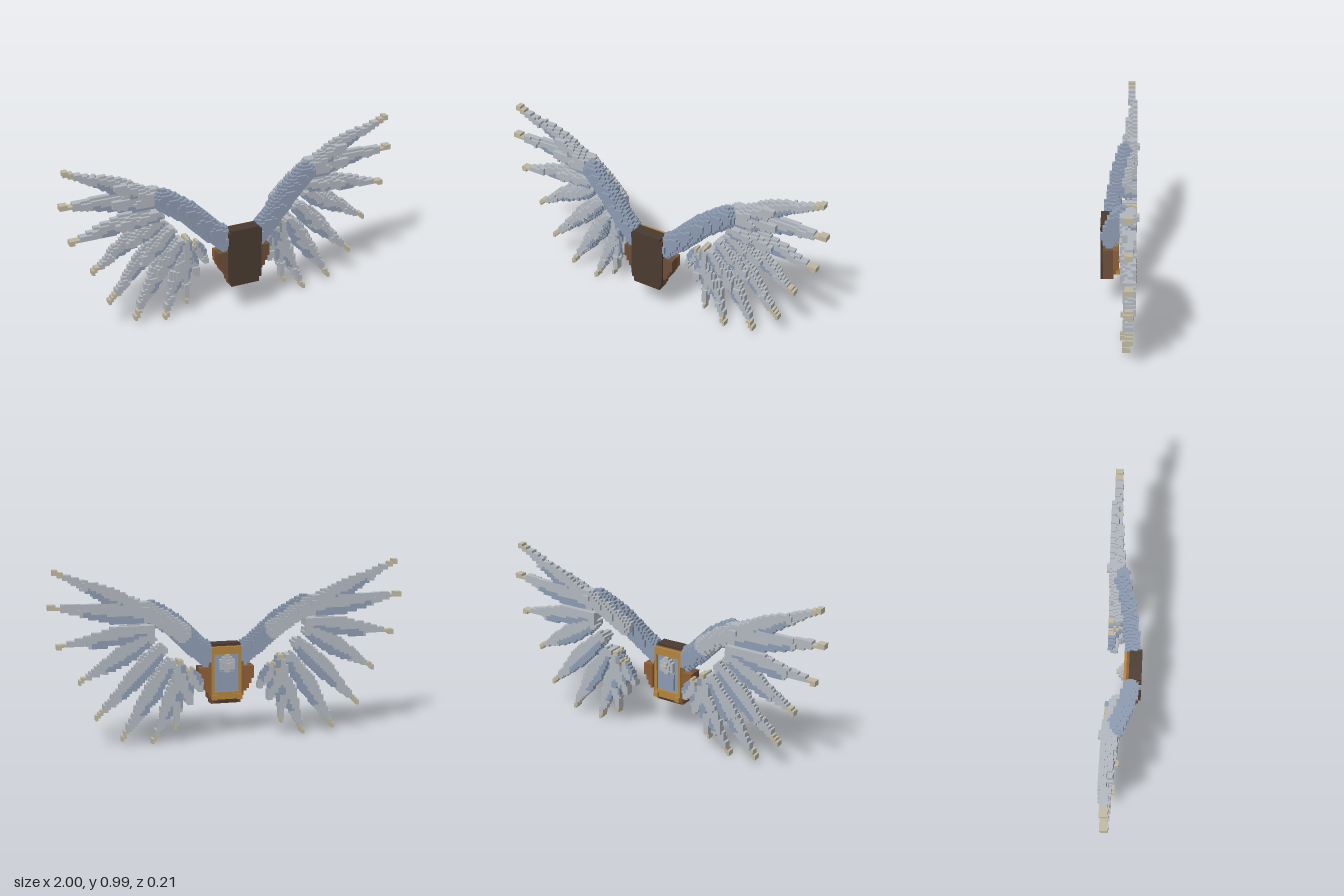
import * as THREE from 'three';

const V = 1 / 70; // voxel edge

const mat = (name, color) => new THREE.MeshStandardMaterial({ name, color });

export function createModel() {
  const M = {
    silver: mat('silver', 0xb2b8bf),
    steel: mat('steelBlue', 0x8d9bb1),
    tan: mat('tanTip', 0xbfb8a2),
    dark: mat('darkLeather', 0x4a3b30),
    brown: mat('brownLeather', 0x6d4e38),
    bronze: mat('bronze', 0x8e5e34),
    gold: mat('gold', 0xb4853c),
  };

  // Voxel store for the +x half; everything is mirrored when meshed
  const cells = new Map();
  const put = (part, color, i, j, k) => {
    if (i >= 0 && i < 70 && j >= 0) cells.set(`${i},${j},${k}`, { part, color, i, j, k });
  };
  const at = (n) => (n + 0.5) * V;

  // Visit every column of cells inside a rectangle
  const scan = (x0, x1, y0, y1, fn) => {
    for (let i = Math.max(0, Math.floor(x0 / V)); i <= x1 / V; i++)
      for (let j = Math.max(0, Math.floor(y0 / V)); j <= y1 / V; j++) fn(i, j, at(i), at(j));
  };

  // Tapered feather from root to tip, bending forward by `lift` layers
  function feather(part, [ax, ay], [bx, by], hw, back, layers, lift, tip = true, quill = false) {
    const dx = bx - ax, dy = by - ay, L = Math.hypot(dx, dy), m = hw + V;
    scan(Math.min(ax, bx) - m, Math.max(ax, bx) + m, Math.min(ay, by) - m, Math.max(ay, by) + m, (i, j, x, y) => {
      const t = ((x - ax) * dx + (y - ay) * dy) / (L * L);
      const s = ((x - ax) * dy - (y - ay) * dx) / L; // positive on the trailing side
      if (t < 0 || t > 1) return;
      const taper = tip ? Math.pow(1 - Math.max(0, t - 0.4) / 0.6, 0.85)
        : Math.sqrt(Math.max(0, 1 - Math.max(0, t - 0.5) * 2));
      let w = Math.max(0.011, hw * Math.min(0.5 + t * 1.25, 1) * taper);
      if (quill && t < 0.08) w = 0.014;
      if (Math.abs(s) > w) return;
      let color = 'silver';
      if (s > 0.25 * w && t > 0.08 && t < 0.66) color = 'steel';
      if (tip && t > 0.88 || quill && t < 0.08) color = 'tan';
      const k0 = back + Math.round(lift * t * t);
      const n = layers - (Math.abs(s) > 0.7 * w && t < 0.8 ? 1 : 0);
      for (let k = 0; k < n; k++) put(part, color, i, j, k0 + k);
    });
  }

  // Rounded limb through 3D points
  function limb(part, color, pts, r, rz) {
    for (let n = 0; n < pts.length - 1; n++) {
      const a = pts[n], b = pts[n + 1];
      for (let q = 0; q <= 12; q++) {
        const [cx, cy, cz] = a.map((c, e) => c + (b[e] - c) * q / 12);
        scan(cx - r, cx + r, cy - r, cy + r, (i, j, x, y) => {
          const d = ((x - cx) ** 2 + (y - cy) ** 2) / (r * r);
          if (d > 1) return;
          const h = rz * Math.sqrt(1 - d);
          for (let k = Math.round((cz - h) / V); k < Math.round((cz + h) / V); k++) put(part, color, i, j, k);
        });
      }
    }
  }

  // Flight feathers: root, tip, half width, forward bend
  const flight = [
    [[0.42, 0.72], [0.975, 0.98], 0.05, 1],
    [[0.44, 0.72], [1.0, 0.787], 0.056, 1],
    [[0.43, 0.65], [0.96, 0.57], 0.054, 1],
    [[0.43, 0.61], [0.845, 0.37], 0.056, 1],
    [[0.37, 0.55], [0.755, 0.163], 0.055, 1],
    [[0.33, 0.47], [0.615, 0.032], 0.054, 2],
    [[0.26, 0.43], [0.436, 0.003], 0.05, 3],
    [[0.29, 0.47], [0.305, 0.065], 0.045, 3],
    [[0.27, 0.40], [0.225, 0.215], 0.04, 1],
    [[0.23, 0.42], [0.165, 0.28], 0.035, 1],
  ];
  flight.forEach(([a, b, w, lift], n) => feather(`flightFeather${n + 1}`, a, b, w, -7, 3, lift, n < 8, n > 5));

  // Shorter covert feathers overlapping the front of the fan
  const mix = (a, b, t) => [a[0] + (b[0] - a[0]) * t, a[1] + (b[1] - a[1]) * t];
  flight.slice(0, 8).forEach(([a, b, w], n) => {
    feather('greaterCoverts', a, mix(a, b, 0.5), w * 0.9, -4, 2, 0, false, n > 5);
    feather('lesserCoverts', a, mix(a, b, 0.28), w * 0.8, -2, 1, 0, false, n > 5);
  });

  // Wing arm, with a pale band of small feathers behind it
  limb('armCoverts', 'silver', [[0.26, 0.61, -0.03], [0.38, 0.70, -0.05], [0.48, 0.755, -0.07]], 0.05, 0.04);
  limb('wingArm', 'steel', [[0.09, 0.455, 0.05], [0.2, 0.55, 0.03], [0.31, 0.655, 0.005], [0.43, 0.735, -0.03]], 0.062, 0.047);

  // Pack: octagonal shell with dark front and top, brown sides
  const half = (y) => 0.107 - Math.max(0, 0.24 - y, y - 0.485) * 0.6;
  scan(0, 0.12, 0.19, 0.525, (i, j, x, y) => {
    if (x > half(y)) return;
    for (let k = 2; k < 7; k++)
      put('packShell', k < 6 && x > half(y) - V && y < 0.51 ? 'brown' : 'dark', i, j, k);
  });

  // Side pouches, tapering downward
  scan(0.107, 0.155, 0.26, 0.395, (i, j, x, y) => {
    if (x < 0.108 + Math.min(0.045, (y - 0.24) * 0.5))
      for (let k = 0; k < 6; k++) put('sidePouch', k < 2 ? 'bronze' : 'brown', i, j, k);
  });

  // Back: gold frame around a blue panel, corner studs and a round knob
  scan(0, 0.1, 0.22, 0.5, (i, j, x, y) => {
    const rim = x > 0.07 || y < 0.255 || y > 0.465;
    if (x > half(y) - 0.01) return;
    put('backPanel', rim ? 'bronze' : 'steel', i, j, 1);
    if (rim && x < 0.088) put('backFrame', 'gold', i, j, 0);
    if (x > 0.055 && x < 0.088 && y > 0.22 && y < 0.25) put('cornerStud', 'gold', i, j, -1);
    if (x < 0.045 && y < 0.37 && y > 0.27) put('backPanel', 'steel', i, j, 0);
    const r = Math.hypot(x, y - 0.42);
    if (r < 0.045) put('backKnob', 'silver', i, j, 0), put('backKnob', 'silver', i, j, -1);
    if (r < 0.026) put('backKnob', 'silver', i, j, -2);
    if (r < 0.012) put('backKnob', 'tan', i, j, -3);
  });

  // Emit exposed voxel faces, one mesh per part, side and colour
  const root = new THREE.Group();
  root.name = 'wingPack';
  const buckets = new Map();
  for (const { part, color, i, j, k } of cells.values()) {
    const c = [i, j, k];
    for (let axis = 0; axis < 3; axis++) for (const dir of [1, -1]) {
      const nb = [...c];
      nb[axis] += dir;
      if (nb[0] < 0 || cells.has(nb.join())) continue;
      const u = (axis + 1) % 3, v = (axis + 2) % 3;
      const quad = [[0, 0], [1, 0], [1, 1], [0, 1]].map(([p, q]) => {
        const o = [...c];
        o[axis] += dir > 0 ? 1 : 0;
        o[u] += p;
        o[v] += q;
        return o.map((e) => e * V);
      });
      for (const side of [1, -1]) {
        const key = `${side > 0 ? 'left' : 'right'}|${part}|${color}`;
        if (!buckets.has(key)) buckets.set(key, []);
        const order = dir * side > 0 ? [0, 1, 2, 0, 2, 3] : [0, 2, 1, 0, 3, 2];
        for (const n of order) buckets.get(key).push(quad[n][0] * side, quad[n][1], quad[n][2]);
      }
    }
  }
  for (const [key, pos] of buckets) {
    const [side, part, color] = key.split('|');
    const g = new THREE.BufferGeometry();
    g.setAttribute('position', new THREE.Float32BufferAttribute(pos, 3));
    g.computeVertexNormals();
    const mesh = new THREE.Mesh(g, M[color]);
    mesh.name = `${side} ${part} ${M[color].name}`;
    root.add(mesh);
  }
  return root;
}
